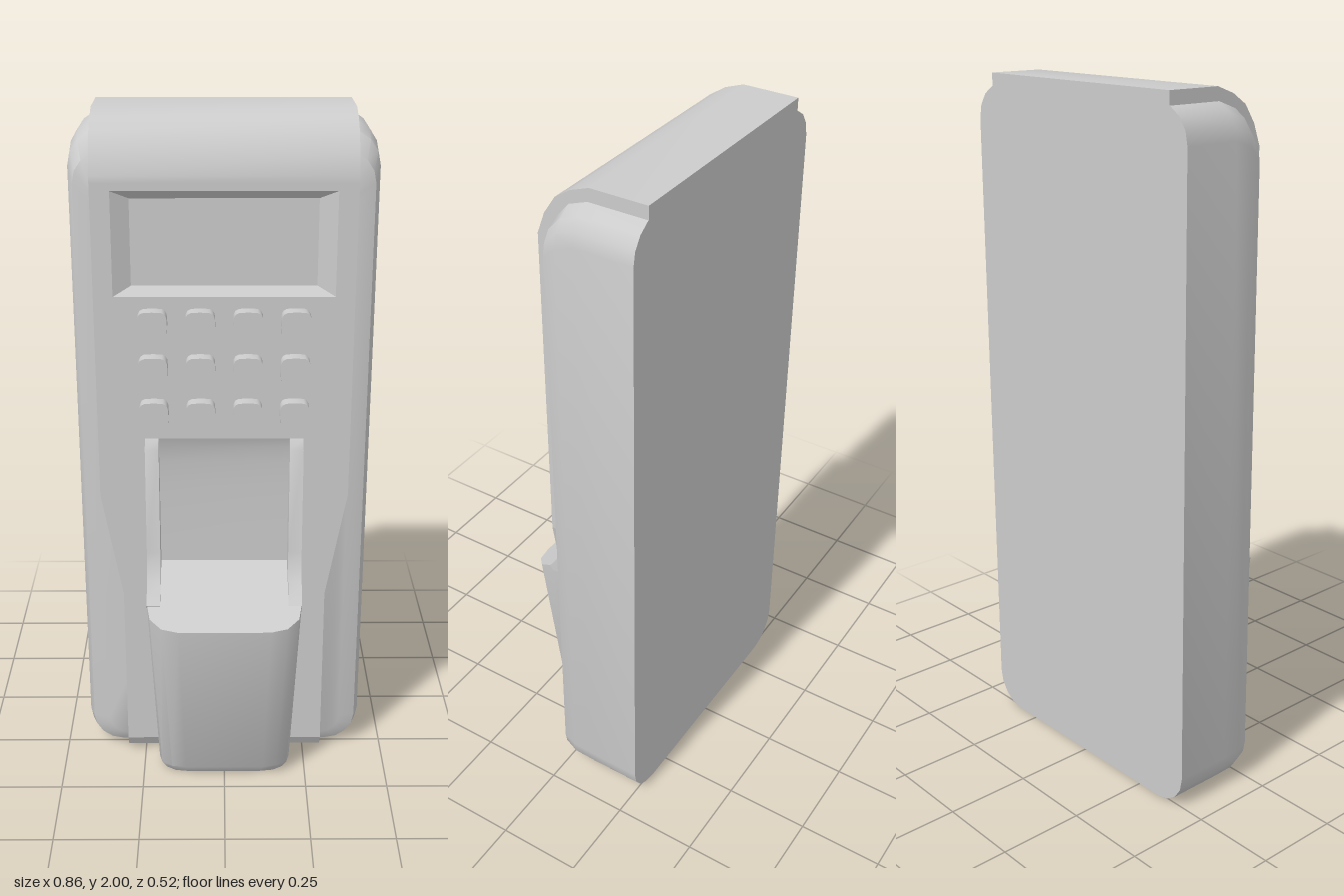
import * as THREE from 'three';
import { toCreasedNormals } from 'three/addons/utils/BufferGeometryUtils.js';

const grey = new THREE.MeshStandardMaterial({ color: 0xcccccc });
const greyThin = new THREE.MeshStandardMaterial({ color: 0xcccccc, side: THREE.DoubleSide });

function part(name, geometry, material = grey) {
  const mesh = new THREE.Mesh(geometry, material);
  mesh.name = name;
  return mesh;
}

// Skin between closed rings of [x, y, z] points, with flat end caps
function loft(rings, crease = 0.6, caps = true) {
  const n = rings[0].length;
  const index = [];
  for (let r = 0; r < rings.length - 1; r++) {
    for (let i = 0; i < n; i++) {
      const a = r * n + i, b = r * n + (i + 1) % n;
      index.push(a, b, b + n, a, b + n, a + n);
    }
  }
  const last = (rings.length - 1) * n;
  for (let i = 1; caps && i < n - 1; i++) {
    index.push(0, i + 1, i, last, last + i, last + i + 1);
  }
  const geo = new THREE.BufferGeometry();
  geo.setAttribute('position', new THREE.Float32BufferAttribute(rings.flat(2), 3));
  geo.setIndex(index);
  return toCreasedNormals(geo, crease);
}

const shapeOf = (pts) => new THREE.Shape(pts.map(([x, y]) => new THREE.Vector2(x, y)));

// Side profile of [z, y] points pulled along x, centred on cx
function sideExtrude(profile, width, cx = 0) {
  const geo = new THREE.ExtrudeGeometry(shapeOf(profile), { depth: width, bevelEnabled: false });
  geo.rotateY(-Math.PI / 2).translate(cx + width / 2, 0, 0);
  return toCreasedNormals(geo, 0.6);
}

// Rounded rectangle ring at depth z
function roundedRing(z, hw, bottom, top, r) {
  const ring = [];
  const corners = [[hw - r, top - r], [r - hw, top - r], [r - hw, bottom + r], [hw - r, bottom + r]];
  corners.forEach(([cx, cy], c) => {
    for (let i = 0; i <= 4; i++) {
      const a = (c + i / 4) * Math.PI / 2;
      ring.push([cx + r * Math.cos(a), cy + r * Math.sin(a), z]);
    }
  });
  return ring;
}

function rectRing(z, hw, bottom, top) {
  return [[hw, top, z], [-hw, top, z], [-hw, bottom, z], [hw, bottom, z]];
}

function rectHole(hw, bottom, top) {
  return shapeOf([[-hw, bottom], [-hw, top], [hw, top], [hw, bottom]]);
}

export function createModel() {
  const model = new THREE.Group();

  // Rear shell with a softened front edge
  model.add(part('rearShell', loft([
    roundedRing(-0.26, 0.43, 0, 1.97, 0.1),
    roundedRing(-0.09, 0.43, 0, 1.97, 0.1),
    roundedRing(-0.035, 0.43, 0.002, 1.95, 0.1),
    roundedRing(0.01, 0.415, 0.015, 1.9, 0.09),
    roundedRing(0.03, 0.365, 0.05, 1.82, 0.06),
  ])));

  // Front plate, narrowing downwards, with display and finger openings
  const plate = shapeOf([
    [-0.305, 0.05], [0.305, 0.05], [0.305, 0.57], [0.365, 0.9],
    [0.365, 1.82], [-0.365, 1.82], [-0.365, 0.9], [-0.305, 0.57],
  ]);
  plate.holes.push(rectHole(0.31, 1.505, 1.8), rectHole(0.19, 0.6, 1.08));
  const plateGeo = new THREE.ExtrudeGeometry(plate, { depth: 0.06, bevelEnabled: false });
  model.add(part('frontPlate', plateGeo));

  // Curved top and bottom of the plate
  model.add(part('topHood', sideExtrude([
    [-0.26, 1.82], [0.06, 1.82], [0.06, 1.84], [0.038, 1.9], [0.005, 1.95],
    [-0.04, 1.98], [-0.095, 2], [-0.26, 2],
  ], 0.73)));
  model.add(part('bottomEdge', sideExtrude([
    [-0.03, 0.05], [-0.03, 0.001], [0.005, 0.001], [0.04, 0.014], [0.06, 0.05],
  ], 0.61)));

  // Display recess: sloped surround and floor
  const outer = rectRing(0.06, 0.31, 1.505, 1.8);
  const inner = rectRing(0.034, 0.26, 1.53, 1.775);
  model.add(part('displaySurround', loft([inner, outer], 0.1, false), greyThin));
  const screen = new THREE.PlaneGeometry(0.52, 0.245).translate(0, 1.6525, 0.034);
  model.add(part('displayScreen', screen));

  // Keypad of soft square buttons
  const soft = (v) => Math.sign(v) * Math.sqrt(Math.abs(v)) * 0.042;
  const keyOutline = [];
  for (let i = 0; i < 16; i++) {
    const a = i * Math.PI / 8;
    keyOutline.push([soft(Math.cos(a)), soft(Math.sin(a))]);
  }
  const keyGeo = toCreasedNormals(
    new THREE.ExtrudeGeometry(shapeOf(keyOutline), { depth: 0.05, bevelEnabled: false }), 0.8);
  const keypad = new THREE.Group();
  keypad.name = 'keypad';
  for (let row = 0; row < 3; row++) {
    for (let col = 0; col < 4; col++) {
      const key = part('key', keyGeo);
      key.position.set((col - 1.5) * 0.134, 1.43 - row * 0.134, 0.05);
      keypad.add(key);
    }
  }
  model.add(keypad);

  // Finger rest: rounded block that tapers down, cut by a sloped top
  const half = [[0.135, 0.26], [0.185, 0.25], [0.22, 0.22], [0.23, 0.17], [0.23, 0.03]];
  const plan = [...half, ...half.map(([x, z]) => [-x, z]).reverse()];
  const slope = (z) => 0.55 + (0.26 - z) * 0.545;
  const restRing = (sx, sz, yOf) => plan.map(([x, z]) => [x * sx, yOf(z), 0.03 + (z - 0.03) * sz]);
  model.add(part('fingerRest', loft([
    restRing(0.82, 0.61, () => 0),
    restRing(0.88, 0.7, () => 0.03),
    restRing(1, 1, slope),
  ])));

  // Side rails rising from the rest
  for (const side of [-1, 1]) {
    model.add(part(side > 0 ? 'leftRail' : 'rightRail', sideExtrude([
      [0.03, 0.6], [0.17, 0.58], [0.18, 0.594], [0.13, 0.65], [0.112, 0.69],
      [0.1, 0.73], [0.08, 1.05], [0.06, 1.08], [0.03, 1.08],
    ], 0.04, side * 0.21)));
  }

  // Curved sensor wall behind the rails
  const wall = [[0.036, 0.66], [0.036, 0.8], [0.038, 0.92], [0.043, 1.0], [0.05, 1.05], [0.06, 1.08]];
  const wallGeo = new THREE.PlaneGeometry(0.38, 1, 1, wall.length - 1);
  const pos = wallGeo.attributes.position;
  for (let i = 0; i < pos.count; i++) {
    const [z, y] = wall[wall.length - 1 - Math.floor(i / 2)];
    pos.setY(i, y);
    pos.setZ(i, z);
  }
  wallGeo.computeVertexNormals();
  model.add(part('sensorWall', wallGeo, greyThin));

  return model;
}
